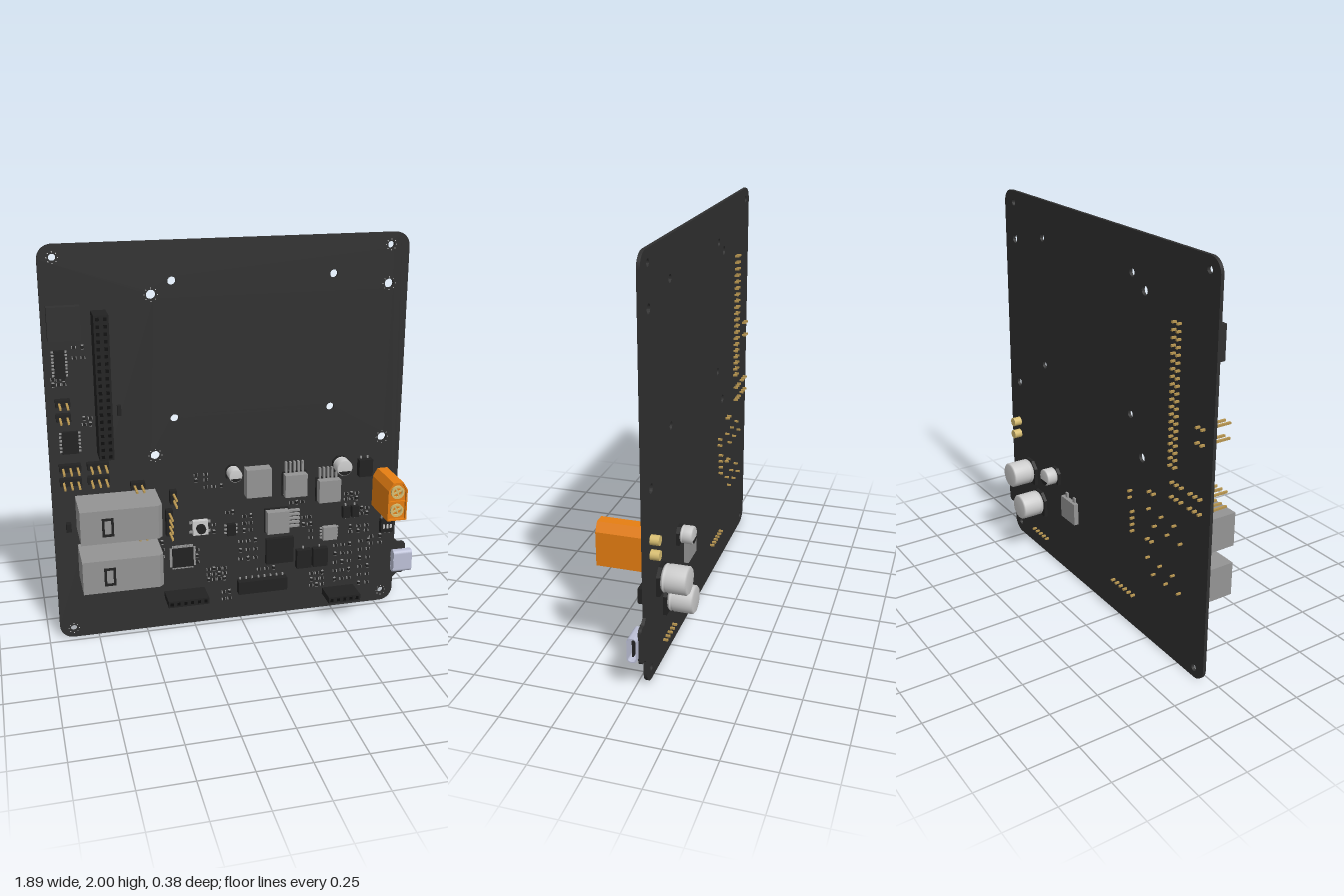
import * as THREE from 'three';

const F = -0.034, B = -0.05; // front and back face of the board
const mat = (c) => new THREE.MeshStandardMaterial({ color: c, side: THREE.DoubleSide });
const M = {
  board: mat(0x303030), black: mat(0x222222), pit: mat(0x0c0c0c), grey: mat(0x949494),
  silver: mat(0xcccccc), gold: mat(0xb89650), goldLight: mat(0xd6bc70), orange: mat(0xe67e12), steel: mat(0xbcc0d6),
};

export function createModel() {
  const root = new THREE.Group();
  const add = (name, geo, m, x = 0, y = 0, z = 0, parent = root) => {
    const mesh = new THREE.Mesh(geo, m);
    mesh.name = name;
    mesh.position.set(x, y, z);
    parent.add(mesh);
    return mesh;
  };
  const group = (name) => {
    const g = new THREE.Group();
    g.name = name;
    root.add(g);
    return g;
  };
  // box given by its extents
  const box = (name, x0, x1, y0, y1, z0, z1, m, parent = root) =>
    add(name, new THREE.BoxGeometry(x1 - x0, y1 - y0, Math.abs(z1 - z0)), m, (x0 + x1) / 2, (y0 + y1) / 2, (z0 + z1) / 2, parent);
  const extrude = (shape, depth) => new THREE.ExtrudeGeometry(shape, { depth, bevelEnabled: false, curveSegments: 10 });
  const poly = (pts) => new THREE.Shape(pts.map(([x, y]) => new THREE.Vector2(x, y)));
  const circle = (x, y, r) => new THREE.Path().absarc(x, y, r, 0, Math.PI * 2, true);

  // board with rounded corners, a side tab and mounting holes
  const s = new THREE.Shape(), r = 0.07, H = Math.PI / 2;
  s.moveTo(-0.945 + r, 0);
  s.absarc(0.855 - r, r, r, -H, 0);
  s.lineTo(0.855, 0.13);
  s.lineTo(0.88, 0.155);
  s.absarc(0.9, 0.175, 0.022, -H, 0);
  s.absarc(0.9, 0.315, 0.022, 0, H);
  s.lineTo(0.88, 0.337);
  s.lineTo(0.855, 0.36);
  s.absarc(0.855 - r, 2 - r, r, 0, H);
  s.absarc(-0.945 + r, 2 - r, r, H, 2 * H);
  s.absarc(-0.945 + r, r, r, 2 * H, 3 * H);
  const holes = [[-0.875, 1.94, 0.017], [0.76, 1.94, 0.017], [-0.875, 0.05, 0.017], [0.79, 0.06, 0.017]];
  for (const x of [-0.33, 0.47]) for (const y of [1.135, 1.81]) holes.push([x, y, 0.02]);
  for (const x of [-0.43, 0.757]) for (const y of [0.95, 1.75]) holes.push([x, y, 0.023]);
  for (const [x, y, hr] of holes) s.holes.push(circle(x, y, hr));
  add('board', extrude(s, F - B), M.board, 0, 0, B);
  // ring of small vias around the screw holes
  for (const [x, y, hr] of holes) {
    if (hr === 0.02) continue;
    for (let i = 0; i < 8; i++) {
      const a = (i * Math.PI) / 4;
      add('holeVia', new THREE.CircleGeometry(0.003, 6), M.silver, x + (hr + 0.009) * Math.cos(a), y + (hr + 0.009) * Math.sin(a), F + 0.001);
    }
  }

  // pin header or socket strip, from its lower left corner
  const P = 0.035;
  const header = (name, x, y, nx, ny, socket) => {
    const g = group(name), top = socket ? 0.088 : 0;
    box(name + 'Body', x, x + nx * P, y, y + ny * P, F, top, M.black, g);
    for (let i = 0; i < nx; i++) for (let j = 0; j < ny; j++) {
      const cx = x + (i + 0.5) * P, cy = y + (j + 0.5) * P;
      box('pin', cx - 0.005, cx + 0.005, cy - 0.005, cy + 0.005, -0.073, socket ? F : 0.088, M.gold, g);
      if (socket) box('pinOpening', cx - 0.008, cx + 0.008, cy - 0.008, cy + 0.008, top - 0.002, top + 0.001, M.pit, g);
    }
  };
  header('mainSocket', -0.715, 0.99, 2, 20, true);
  header('lowerLeftSocket', -0.403, 0.165, 6, 1, true);
  header('lowerRightSocket', 0.453, 0.08, 5, 1, true);
  for (const y of [1.24, 1.168]) header('pinHeader', -0.902, y, 2, 1);
  for (const y of [0.912, 0.84]) for (const x of [-0.902, -0.768]) header('pinHeader', x, y, 3, 1);
  header('pinHeader', -0.56, 0.793, 2, 1);
  header('pinHeader', -0.553, 0.54, 2, 1);
  header('pinHeader', -0.367, 0.695, 1, 2);
  header('pinHeader', -0.39, 0.523, 1, 4);

  // chip with n legs on two sides ('x': left and right, 'y': top and bottom, 'xy': all four)
  const chip = (name, x0, x1, y0, y1, top, n = 0, sides = 'x', m = M.black) => {
    const g = group(name), w = 0.012;
    box(name + 'Body', x0, x1, y0, y1, F, top, m, g);
    for (let i = 0; i < n; i++) {
      const t = (i + 0.5) / n, cx = x0 + t * (x1 - x0), cy = y0 + t * (y1 - y0);
      if (sides.includes('x')) box('leg', x0 - w, x1 + w, cy - 0.004, cy + 0.004, F, F + 0.008, M.grey, g);
      if (sides.includes('y')) box('leg', cx - 0.004, cx + 0.004, y0 - w, y1 + w, F, F + 0.008, M.grey, g);
    }
  };
  chip('radioModule', -0.92, -0.765, 1.56, 1.72, 0.012, 0, 'x', M.board);
  chip('interfaceChip', -0.895, -0.845, 1.38, 1.51, -0.005, 8);
  chip('sensorChip', -0.88, -0.802, 1.0, 1.11, -0.015, 6);
  chip('processor', -0.36, -0.25, 0.335, 0.44, -0.018, 12, 'xy');
  chip('smallChip', -0.53, -0.48, 0.268, 0.315, -0.02, 5, 'xy');
  chip('smallChip', -0.073, -0.028, 0.485, 0.548, -0.01, 3);
  chip('driverChip', -0.018, 0.245, 0.152, 0.222, 0.01, 8, 'y');
  chip('powerModule', 0.135, 0.283, 0.3, 0.442, -0.01);
  for (const x of [0.3, 0.39]) chip('blackInductor', x, x + 0.08, 0.26, 0.363, 0, 1, 'y');
  for (const x of [0.55, 0.6]) chip('diode', x, x + 0.038, 0.522, 0.583, -0.005, 1, 'y');
  chip('largeDiode', 0.627, 0.7, 0.75, 0.842, 0.005, 2, 'y');
  chip('greyChip', 0.443, 0.52, 0.405, 0.478, -0.005, 4, 'x', M.grey);
  chip('whiteLamp', -0.443, -0.415, 0.297, 0.33, -0.015, 0, 'x', M.silver);
  chip('dipSwitch', 0.765, 0.833, 0.415, 0.49, -0.005, 3, 'y');
  for (let i = 0; i < 3; i++) box('switchSlider', 0.776 + i * 0.019, 0.786 + i * 0.019, 0.44, 0.462, -0.006, 0, M.silver);

  // grey power parts with a row of leads: direction of the leads is (dx, dy)
  chip('greyInductor', 0.02, 0.15, 0.7, 0.85, 0.028, 0, 'x', M.grey);
  for (const [x, y, dx, dy] of [[0.283, 0.74, 0, 1], [0.465, 0.692, 0, 1], [0.19, 0.545, 1, 0]]) {
    const g = group('powerTransistor');
    box('transistorBody', x - 0.058, x + 0.058, y - 0.06, y + 0.06, F, 0.022, M.grey, g);
    box('transistorTab', x - 0.064, x + 0.064, y - 0.066, y + 0.066, F, F + 0.012, M.black, g);
    for (let i = -2; i <= 2; i++) {
      const cx = x + dx * 0.09 + dy * i * 0.022, cy = y + dy * 0.09 + dx * i * 0.022;
      const hx = dx ? 0.035 : 0.005, hy = dy ? 0.03 : 0.005;
      box('lead', cx - hx, cx + hx, cy - hy, cy + hy, F, F + 0.018, M.grey, g);
    }
  }

  // two tall grey sockets with a chamfered front edge and a latch slot
  for (const y of [0.605, 0.345]) {
    const g = group('cableSocket'), h = 0.17;
    const body = add('socketBody', extrude(poly([[-0.833, -F], [-0.833, -0.188], [-0.458, -0.188], [-0.437, -0.165], [-0.437, -F]]), h), M.grey, 0, y, 0, g);
    body.rotation.x = -Math.PI / 2;
    const frame = poly([[-0.73, 0.035], [-0.674, 0.035], [-0.674, 0.13], [-0.73, 0.13]]);
    frame.holes.push(poly([[-0.718, 0.048], [-0.718, 0.117], [-0.686, 0.117], [-0.686, 0.048]]));
    add('latchFrame', extrude(frame, 0.003), M.black, 0, y, 0.187, g);
    for (let i = 0; i < 6; i++) box('socketPin', -0.76 + i * 0.05, -0.751 + i * 0.05, y + 0.04 + (i % 2) * 0.07, y + 0.049 + (i % 2) * 0.07, -0.073, F, M.gold, g);
  }

  // push button
  const btn = group('pushButton');
  box('buttonBase', -0.252, -0.174, 0.508, 0.586, F, -0.008, M.silver, btn);
  box('buttonLegs', -0.268, -0.158, 0.515, 0.527, F, F + 0.01, M.grey, btn);
  box('buttonLegs', -0.268, -0.158, 0.567, 0.579, F, F + 0.01, M.grey, btn);
  add('buttonCap', new THREE.CylinderGeometry(0.024, 0.024, 0.03, 24), M.black, -0.213, 0.547, 0, btn).rotation.x = H;

  // can capacitors: dir +1 on the front face, -1 on the back
  const can = (x, y, rad, len, dir, mark) => {
    const g = group('capacitor'), b = Math.min(0.018, len * 0.3);
    g.position.set(x, y, dir > 0 ? F : B);
    if (dir < 0) g.rotation.y = Math.PI;
    const q = rad * 0.98, c = rad * 0.55;
    add('capacitorBase', extrude(poly([[-q, -q], [q, -q], [q, q - c], [q - c, q], [c - q, q], [-q, q - c]]), b), M.black, 0, 0, 0, g);
    const e = rad * 0.12;
    const prof = [[0, b], [rad - e, b], [rad, b + e], [rad, b + 1.5 * e], [rad - e, b + 2.3 * e], [rad, b + 3.2 * e], [rad, len - e], [rad - e, len], [0, len]];
    add('capacitorCan', new THREE.LatheGeometry(prof.map(([a, h]) => new THREE.Vector2(a, h)), 32), M.silver, 0, 0, 0, g).rotation.x = H;
    if (mark) {
      const seg = new THREE.Shape().absarc(0, 0, rad * 0.88, -2.7, -0.45, false);
      add('polarityMark', new THREE.ShapeGeometry(seg), M.black, 0, 0, len + 0.001, g);
    }
  };
  can(-0.043, 0.835, 0.034, 0.085, 1, true);
  can(0.53, 0.825, 0.042, 0.085, 1, true);
  can(0.645, 0.455, 0.068, 0.142, -1);
  can(0.545, 0.3, 0.068, 0.142, -1);
  can(0.365, 0.54, 0.045, 0.08, -1, true);
  // grey regulator on the back
  box('backRegulator', 0.145, 0.28, 0.335, 0.455, -0.075, B, M.grey);
  for (let i = 0; i < 2; i++) box('backRegulatorLead', 0.165 + i * 0.075, 0.185 + i * 0.075, 0.455, 0.48, -0.06, B, M.grey);

  // orange power connector with two gold contacts
  const pw = group('powerConnector');
  const shell = poly([[0.717, 0.57], [0.82, 0.57], [0.82, 0.735], [0.795, 0.777], [0.742, 0.777], [0.717, 0.735]]);
  add('connectorBody', extrude(shell, 0.176 - F), M.orange, 0, 0, F, pw);
  const rim = shell.clone();
  rim.holes.push(poly([[0.724, 0.577], [0.724, 0.733], [0.746, 0.77], [0.791, 0.77], [0.813, 0.733], [0.813, 0.577]]));
  add('connectorRim', extrude(rim, 0.016), M.orange, 0, 0, 0.176, pw);
  box('connectorDivider', 0.724, 0.813, 0.668, 0.674, 0.17, 0.188, M.orange, pw);
  for (const y of [0.722, 0.623]) {
    const tube = new THREE.Shape().absarc(0, 0, 0.035, 0, Math.PI * 2);
    tube.holes.push(circle(0, 0, 0.024));
    add('contactRing', extrude(tube, 0.012), M.goldLight, 0.769, y, 0.176, pw);
    for (const a of [0, H]) add('contactCross', new THREE.BoxGeometry(0.05, 0.008, 0.009), M.goldLight, 0.769, y, 0.18, pw).rotation.z = a + 0.4;
  }
  for (const y of [0.71, 0.636]) add('solderPost', new THREE.CylinderGeometry(0.024, 0.024, 0.05, 20), M.goldLight, 0.77, y, -0.068, pw).rotation.x = H;

  // side port: rounded metal sleeve, open at its outer end
  const port = group('sidePort');
  const rr = (w, h, q) => new THREE.Shape().absarc(w - q, h - q, q, 0, H).absarc(q - w, h - q, q, H, 2 * H).absarc(q - w, q - h, q, 2 * H, 3 * H).absarc(w - q, q - h, q, 3 * H, 4 * H);
  const sleeve = rr(0.024, 0.062, 0.018);
  sleeve.holes.push(rr(0.019, 0.057, 0.014));
  add('portSleeve', extrude(sleeve, 0.105), M.steel, 0.84, 0.24, -0.012, port).rotation.y = H;
  box('portTongue', 0.845, 0.93, 0.2, 0.28, -0.016, -0.008, M.black, port);
  box('portBack', 0.84, 0.85, 0.184, 0.296, -0.03, 0.006, M.steel, port);

  // clusters of small surface parts: x, y, columns, rows, step x, step y
  const clusters = [
    [-0.905, 1.345, 3, 2, 0.025, 0.025], [-0.8, 1.47, 2, 2, 0.04, 0.05], [-0.77, 1.14, 2, 2, 0.03, 0.03],
    [-0.23, 0.8, 2, 2, 0.05, 0.03], [-0.18, 0.76, 3, 1, 0.04, 0.03], [-0.07, 0.61, 2, 1, 0.03, 0.03],
    [-0.14, 0.51, 1, 2, 0.03, 0.04], [-0.41, 0.4, 1, 3, 0.03, 0.04], [-0.23, 0.35, 1, 3, 0.03, 0.035],
    [-0.17, 0.24, 4, 3, 0.028, 0.03], [-0.09, 0.12, 2, 2, 0.03, 0.04], [0.0, 0.34, 3, 3, 0.04, 0.05],
    [0.02, 0.5, 2, 3, 0.035, 0.04], [0.1, 0.27, 3, 1, 0.04, 0.04], [0.27, 0.63, 3, 1, 0.03, 0.03],
    [0.34, 0.5, 2, 2, 0.03, 0.04], [0.38, 0.42, 1, 3, 0.04, 0.04], [0.39, 0.14, 3, 3, 0.03, 0.035],
    [0.52, 0.16, 3, 5, 0.04, 0.05], [0.57, 0.62, 3, 2, 0.03, 0.03], [0.66, 0.53, 2, 2, 0.03, 0.03],
    [0.66, 0.12, 2, 6, 0.045, 0.05], [0.72, 0.35, 2, 2, 0.05, 0.04], [0.6, 0.43, 3, 2, 0.045, 0.03],
  ];
  const smd = group('smallParts');
  clusters.forEach(([x, y, nx, ny, dx, dy], k) => {
    for (let i = 0; i < nx; i++) for (let j = 0; j < ny; j++) {
      const cx = x + i * dx, cy = y + j * dy, up = (i + j + k) % 3 === 0;
      const [w, h] = up ? [0.006, 0.011] : [0.011, 0.006];
      box('partEnds', cx - w, cx + w, cy - h, cy + h, F, F + 0.01, M.grey, smd);
      const [bw, bh] = up ? [0.0065, 0.007] : [0.007, 0.0065];
      box('partBody', cx - bw, cx + bw, cy - bh, cy + bh, F, F + 0.011, M.black, smd);
    }
  });
  box('smallConnector', -0.61, -0.592, 1.175, 1.225, F, -0.01, M.black);
  box('smallConnector', -0.885, -0.86, 0.598, 0.64, F, 0, M.black);
  return root;
}
